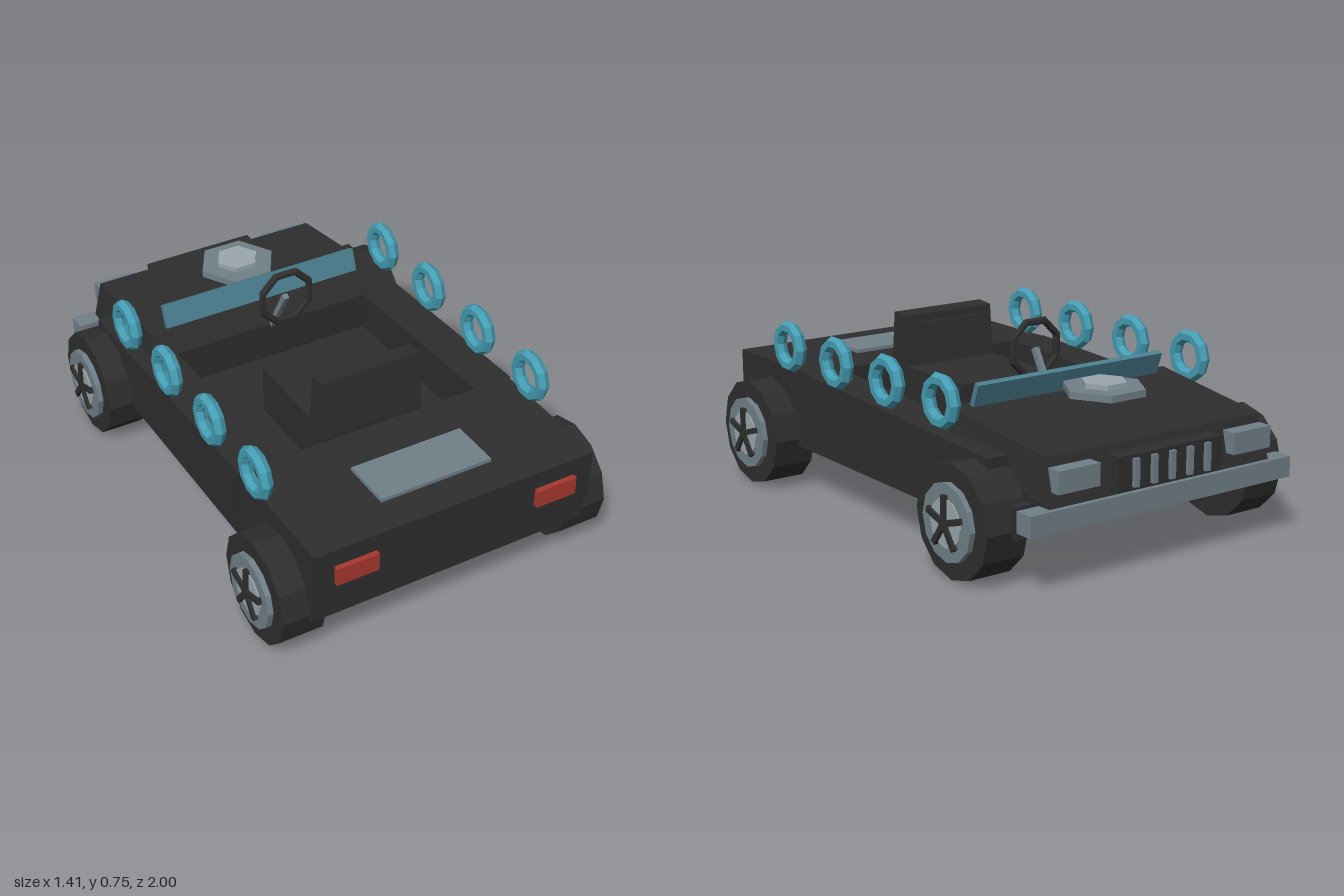
import * as THREE from 'three';

const mat = (name, color, double = false) => {
  const m = new THREE.MeshStandardMaterial({ color, flatShading: true });
  m.name = name;
  if (double) m.side = THREE.DoubleSide;
  return m;
};

export function createModel() {
  const black = mat('bodyBlack', 0x2e2e2e);
  const slate = mat('slateGrey', 0x708088);
  const light = mat('paleGrey', 0x9aa7ad);
  const teal = mat('ringTeal', 0x459db3);
  const glass = mat('glassTeal', 0x4b7f90);
  const red = mat('lampRed', 0xa8382f);
  const car = new THREE.Group();
  car.name = 'openCar';

  const add = (name, geo, material, x = 0, y = 0, z = 0, parent = car) => {
    const mesh = new THREE.Mesh(geo, material);
    mesh.name = name;
    mesh.position.set(x, y, z);
    parent.add(mesh);
    return mesh;
  };
  // Box given by its limits on each axis
  const box = (name, material, [x0, x1], [y0, y1], [z0, z1], parent = car) =>
    add(name, new THREE.BoxGeometry(x1 - x0, y1 - y0, z1 - z0), material,
      (x0 + x1) / 2, (y0 + y1) / 2, (z0 + z1) / 2, parent);
  // Side profile of [z, y] points extruded across x
  const profile = (name, material, pts, x0, x1) => {
    const shape = new THREE.Shape(pts.map(([z, y]) => new THREE.Vector2(-z, y)));
    const geo = new THREE.ExtrudeGeometry(shape, { depth: x1 - x0, bevelEnabled: false });
    geo.rotateY(Math.PI / 2);
    geo.translate(x0, 0, 0);
    return add(name, geo, material);
  };

  // Body: lower tub, rear deck, sides and cowl around the open cockpit
  box('lowerBody', black, [-0.565, 0.565], [0.178, 0.295], [-0.86, 0.958]);
  box('rearDeck', black, [-0.565, 0.565], [0.285, 0.482], [0.46, 0.98]);
  const sidePts = [[0.46, 0.285], [0.46, 0.482], [-0.04, 0.46], [-0.34, 0.445], [-0.72, 0.43], [-0.72, 0.285]];
  profile('rightSide', black, sidePts, -0.573, -0.415);
  profile('leftSide', black, sidePts, 0.415, 0.573);
  box('cowl', black, [-0.42, 0.42], [0.285, 0.44], [-0.72, -0.335]);

  // Hood: profile whose upper edge leans inward
  const hood = profile('hood', black,
    [[-0.335, 0.295], [-0.335, 0.445], [-0.375, 0.525], [-0.91, 0.462], [-0.95, 0.297]], -1, 1);
  const p = hood.geometry.attributes.position;
  for (let i = 0; i < p.count; i++) {
    const front = (-0.335 - p.getZ(i)) / 0.615;
    const lean = p.getY(i) > 0.45 ? 0.018 : 0;
    p.setX(i, Math.sign(p.getX(i)) * (0.515 - 0.022 * front - lean));
  }
  hood.geometry.computeVertexNormals();

  // Hood intake
  const hexagon = (name, material, r, h, y) => {
    const g = new THREE.CylinderGeometry(r, r, h, 6);
    g.rotateY(Math.PI / 6 * 3);
    return add(name, g, material, 0, y, -0.625);
  };
  hexagon('intakePlate', slate, 0.155, 0.026, 0.563);
  hexagon('intakeCap', light, 0.085, 0.02, 0.585);

  // Windscreen strip, leaning forward
  const screen = add('windscreen', new THREE.BoxGeometry(0.84, 0.09, 0.022), glass, 0, 0.562, -0.428);
  screen.rotation.x = -0.35;

  // Seat
  box('seatCushion', black, [-0.203, 0.203], [0.29, 0.487], [-0.04, 0.42]);
  profile('seatBack', black, [[0.425, 0.47], [0.405, 0.69], [0.335, 0.683], [0.315, 0.47]], -0.203, 0.203);
  profile('seatPad', black, [[0.33, 0.49], [0.345, 0.655], [0.322, 0.652], [0.3, 0.49]], -0.15, 0.15);

  // Steering wheel and column
  const rim = new THREE.TorusGeometry(0.108, 0.015, 6, 8);
  rim.rotateZ(Math.PI / 8);
  add('steeringWheel', rim, black, 0, 0.635, -0.225);
  const column = add('steeringColumn', new THREE.BoxGeometry(0.022, 0.22, 0.022), slate, 0, 0.54, -0.281);
  column.rotation.x = Math.atan2(0.11, 0.19);

  // Rear panel and tail lamps
  box('rearPanel', slate, [-0.225, 0.225], [0.478, 0.496], [0.645, 0.845]);

  // Bumper and grille
  box('bumper', slate, [-0.585, 0.585], [0.22, 0.297], [-0.97, -0.895]);
  box('grille', black, [-0.232, 0.232], [0.312, 0.437], [-0.985, -0.9]);
  for (let i = -2; i <= 2; i++) {
    const x = i * 0.08;
    box('grilleBar', slate, [x - 0.011, x + 0.011], [0.325, 0.425], [-1, -0.98]);
  }

  // Wheel with its outer face toward +x
  const disc = (name, r, x0, x1, material, parent, n = 12) => {
    const g = new THREE.CylinderGeometry(r, r, x1 - x0, n);
    g.rotateZ(Math.PI / 2);
    return add(name, g, material, (x0 + x1) / 2, 0, 0, parent);
  };
  const makeWheel = () => {
    const wheel = new THREE.Group();
    wheel.name = 'wheel';
    disc('tyre', 0.207, -0.085, 0.083, black, wheel);
    disc('hubRing', 0.14, 0.08, 0.104, slate, wheel);
    disc('hubFace', 0.088, 0.1, 0.109, light, wheel);
    disc('hubCentre', 0.022, 0.105, 0.121, black, wheel, 8);
    for (let i = 0; i < 5; i++) {
      const spoke = new THREE.BoxGeometry(0.017, 0.1, 0.022);
      spoke.translate(0, 0.05, 0);
      add('spoke', spoke, black, 0.112, 0, 0, wheel).rotation.x = i * Math.PI * 2 / 5;
    }
    return wheel;
  };

  // Mirrored parts
  for (const s of [-1, 1]) {
    for (const z of [0.745, -0.64]) {
      const wheel = makeWheel();
      wheel.position.set(s * 0.584, 0.207, z);
      if (s < 0) wheel.rotation.y = Math.PI;
      car.add(wheel);
    }
    for (let i = 0; i < 4; i++) {
      const ring = new THREE.TorusGeometry(0.077, 0.025, 6, 10);
      ring.rotateY(Math.PI / 2);
      add('sideRing', ring, teal, s * 0.568, 0.568, 0.585 - i * 0.342);
    }
    const span = (a, b) => (s > 0 ? [a, b] : [-b, -a]);
    box('tailLamp', red, span(0.323, 0.487), [0.343, 0.414], [0.97, 1]);
    box('headLamp', slate, span(0.3, 0.475), [0.35, 0.43], [-0.975, -0.9]);
  }
  return car;
}
